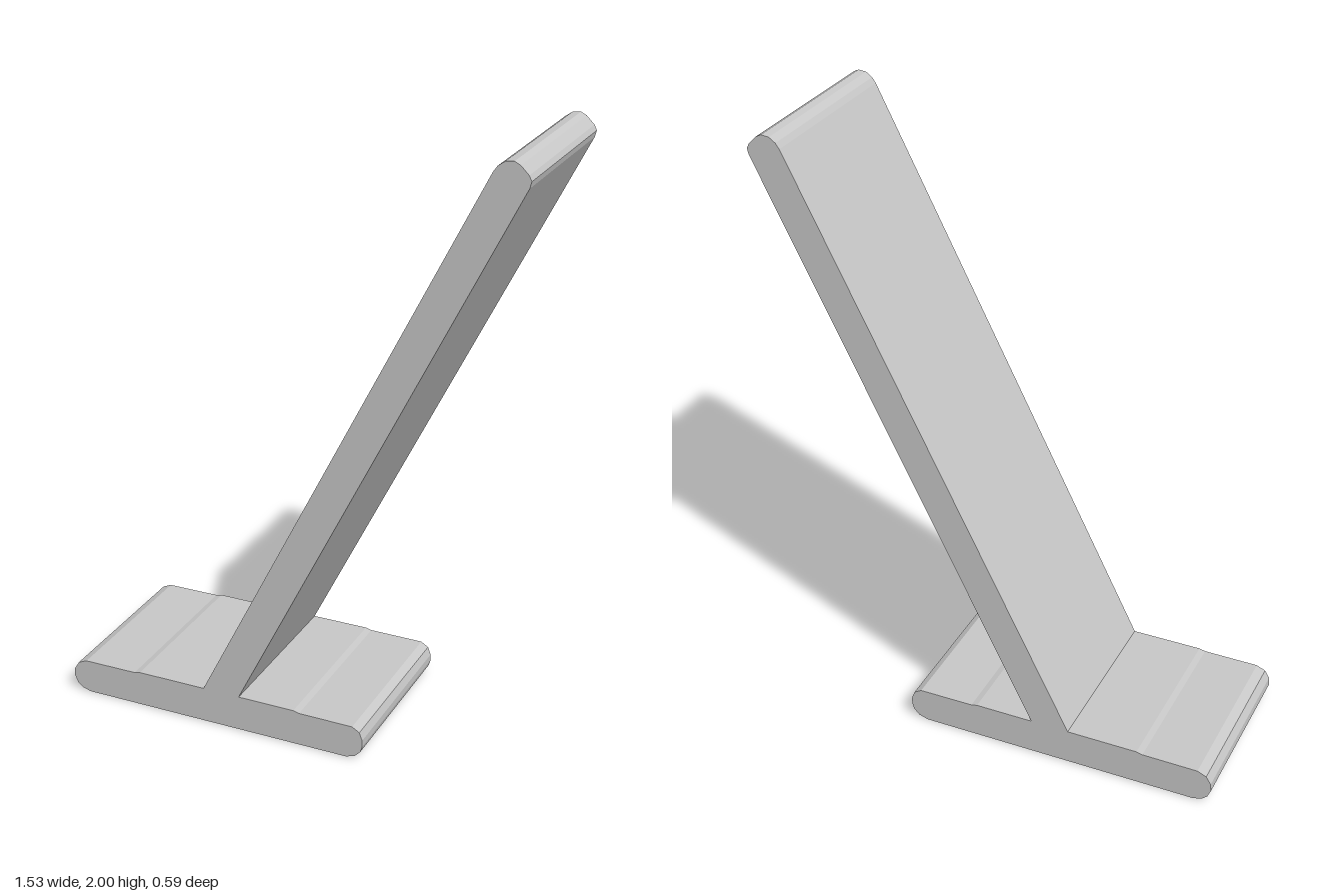
import * as THREE from 'three';

const DEPTH = 0.586;

// Side outline of the stand, counter-clockwise: foot, then slanted upright
const OUTLINE = [
  // right end of the foot
  [0.235, 0], [0.265, 0.01], [0.284, 0.03], [0.29, 0.05], [0.29, 0.073], [0.28, 0.1], [0.255, 0.115],
  // underside of the upright and its rounded tip
  [0.07, 0.116], [0.05, 0.121], [-0.145, 0.121], [0.758, 1.93], [0.763, 1.95],
  [0.755, 1.966], [0.73, 1.991], [0.712, 2], [0.686, 1.997], [0.665, 1.982], [0.653, 1.965],
  // back of the upright, then left end of the foot
  [-0.273, 0.121], [-0.51, 0.121], [-0.53, 0.116], [-0.715, 0.115], [-0.745, 0.102],
  [-0.761, 0.076], [-0.763, 0.05], [-0.752, 0.024], [-0.735, 0.009], [-0.705, 0],
];

export function createModel() {
  const model = new THREE.Group();
  model.name = 'slantedStand';

  const grey = new THREE.MeshStandardMaterial({ color: 0xc8c8c8 });
  grey.name = 'light grey';

  const shape = new THREE.Shape(OUTLINE.map(([x, y]) => new THREE.Vector2(x, y)));
  const geometry = new THREE.ExtrudeGeometry(shape, { depth: DEPTH, bevelEnabled: false });
  geometry.translate(0, 0, -DEPTH / 2);

  // Foot and upright are one continuous solid
  const body = new THREE.Mesh(geometry, grey);
  body.name = 'footAndUpright';
  model.add(body);
  return model;
}
